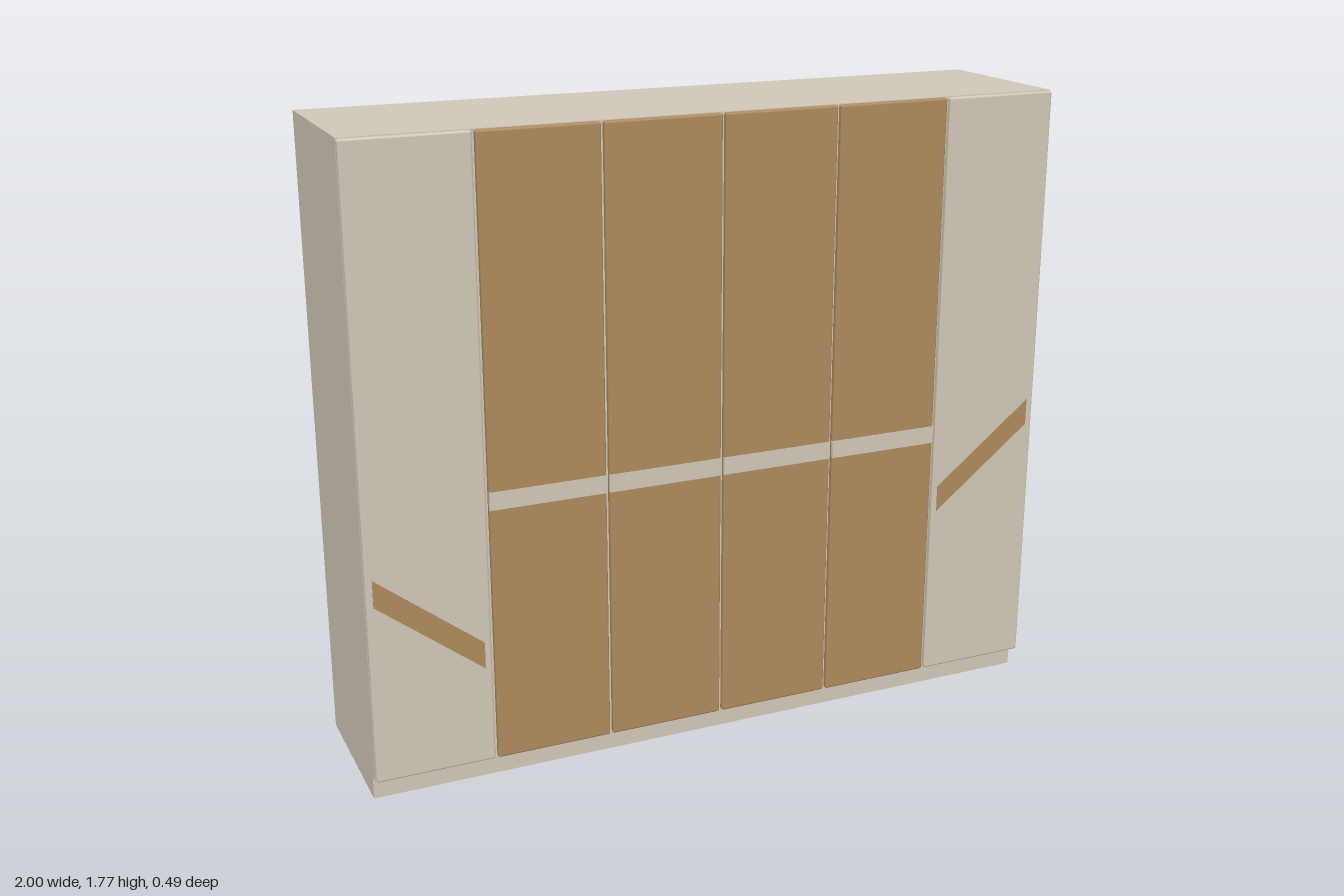
import * as THREE from 'three';
import { RoundedBoxGeometry } from 'three/addons/geometries/RoundedBoxGeometry.js';

const cream = new THREE.MeshStandardMaterial({ color: 0xcfc7b8 });
const wood = new THREE.MeshStandardMaterial({ color: 0xad8a5c });

export function createModel() {
  const model = new THREE.Group();

  const add = (name, geometry, material, x, y, z) => {
    const mesh = new THREE.Mesh(geometry, material);
    mesh.name = name;
    mesh.position.set(x, y, z);
    model.add(mesh);
  };
  // Box given by its lower and upper limits
  const box = (name, material, [x0, x1], [y0, y1], [z0, z1], radius = 0) => {
    const size = [x1 - x0, y1 - y0, z1 - z0];
    const geometry = radius
      ? new RoundedBoxGeometry(...size, 2, radius)
      : new THREE.BoxGeometry(...size);
    add(name, geometry, material, (x0 + x1) / 2, (y0 + y1) / 2, (z0 + z1) / 2);
  };

  // Recessed plinth and carcass
  box('plinth', cream, [-1, 1], [0, 0.065], [-0.244, 0.2]);
  box('carcass', cream, [-1, 1], [0.065, 1.77], [-0.244, 0.228]);

  // Six doors: plain outer pair, wooden inner four with a pale band
  const pitch = 2 / 6, gap = 0.004;
  for (let i = 0; i < 6; i++) {
    const x = [-1 + i * pitch + (i ? gap : 0.001), -1 + (i + 1) * pitch - (i < 5 ? gap : 0.001)];
    const inner = i > 0 && i < 5;
    box('door', inner ? wood : cream, x, [0.067, 1.768], [0.205, 0.242], 0.006);
    if (inner) box('doorBand', cream, x, [0.785, 0.835], [0.235, 0.2435]);
  }

  // Slanted inlays on the outer doors, both falling in the same sense of slope mirrored
  const inlay = (x0, x1, y0, y1, height) => {
    const shape = new THREE.Shape([
      new THREE.Vector2(x0, y0),
      new THREE.Vector2(x1, y1),
      new THREE.Vector2(x1, y1 + height),
      new THREE.Vector2(x0, y0 + height),
    ]);
    const geometry = new THREE.ExtrudeGeometry(shape, { depth: 0.008, bevelEnabled: false });
    add('slantedInlay', geometry, wood, 0, 0, 0.236);
  };
  inlay(-0.98, -0.69, 0.57, 0.342, 0.075);
  inlay(0.687, 0.977, 0.572, 0.8, 0.075);

  return model;
}
